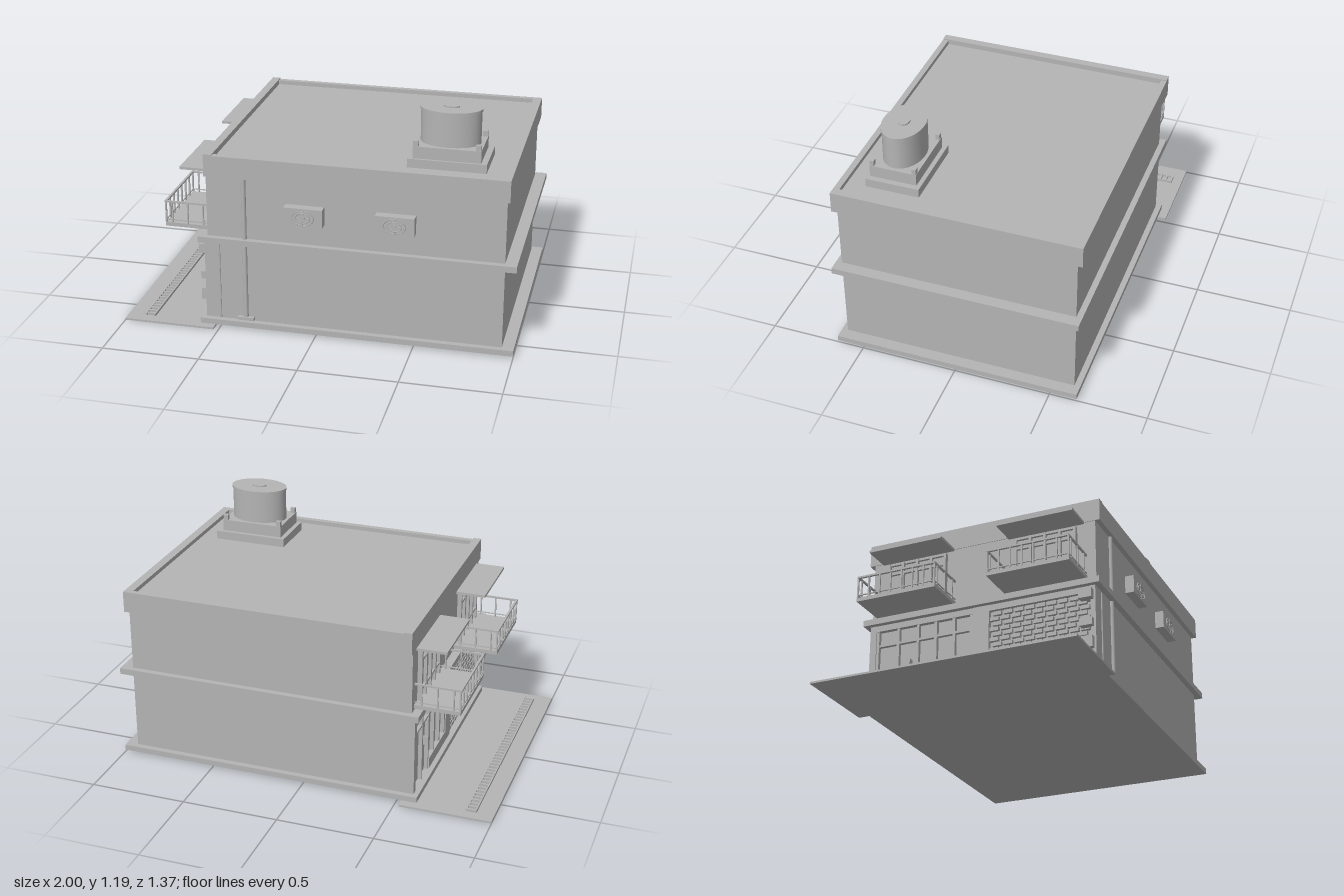
import * as THREE from 'three';

export function createModel() {
  const model = new THREE.Group();
  model.name = 'building';
  const grey = new THREE.MeshStandardMaterial({ color: 0xb4b4b4 });
  grey.name = 'concrete grey';

  const add = (name, geometry, parent = model) => {
    const mesh = new THREE.Mesh(geometry, grey);
    mesh.name = name;
    parent.add(mesh);
    return mesh;
  };
  // box given by its limits on each axis
  const box = (name, x0, x1, y0, y1, z0, z1, parent) => {
    const mesh = add(name, new THREE.BoxGeometry(x1 - x0, y1 - y0, z1 - z0), parent);
    mesh.position.set((x0 + x1) / 2, (y0 + y1) / 2, (z0 + z1) / 2);
    return mesh;
  };
  const group = (name) => {
    const g = new THREE.Group();
    g.name = name;
    model.add(g);
    return g;
  };

  // pavement with a drain grate
  box('pavement', -1, -0.525, 0.003, 0.013, -0.685, 0.68);
  const drain = group('drainGrate');
  for (const x of [-0.91, -0.862]) box('grateRail', x, x + 0.007, 0.013, 0.026, -0.63, 0.625, drain);
  for (let i = 0; i < 40; i++) {
    const z = -0.63 + i * 0.0317;
    box('grateBar', -0.905, -0.86, 0.013, 0.026, z, z + 0.012, drain);
  }

  // floors and walls
  box('baseSlab', -0.605, 1, 0.013, 0.042, -0.64, 0.64);
  box('lowerWalls', -0.555, 0.94, 0.042, 0.462, -0.61, 0.61);
  box('middleSlab', -0.605, 1, 0.462, 0.494, -0.64, 0.64);
  box('upperWalls', -0.562, 0.94, 0.494, 0.82, -0.61, 0.61);

  // roof with its parapet
  box('roof', -0.525, 0.912, 0.82, 0.908, -0.61, 0.605);
  box('streetParapet', -0.565, -0.522, 0.82, 0.936, -0.638, 0.635);
  box('farParapet', 0.91, 0.955, 0.82, 0.93, -0.638, 0.635);
  box('frontParapet', -0.522, 0.91, 0.82, 0.93, 0.604, 0.635);
  box('backParapet', -0.522, 0.91, 0.82, 0.93, -0.638, -0.608);

  // oval water tank on its stand
  const tank = group('waterTank');
  box('standPlate', 0.43, 0.82, 0.908, 0.953, 0.23, 0.507, tank);
  box('standBlock', 0.455, 0.79, 0.953, 1.014, 0.253, 0.495, tank);
  for (const x of [0.457, 0.763])
    for (const z of [0.255, 0.473]) box('standPost', x, x + 0.025, 0.95, 1.042, z, z + 0.02, tank);
  const oval = (name, rx, rz, y0, y1) => {
    const mesh = add(name, new THREE.CylinderGeometry(1, 1, 1, 48), tank);
    mesh.scale.set(rx, y1 - y0, rz);
    mesh.position.set(0.622, (y0 + y1) / 2, 0.374);
  };
  oval('tankBody', 0.149, 0.103, 1.01, 1.185);
  oval('tankRim', 0.153, 0.106, 1.178, 1.191);
  oval('tankCap', 0.04, 0.028, 1.19, 1.198);

  // air conditioners on the front wall
  for (const x of [-0.055, 0.403]) {
    const unit = group('airConditioner');
    box('unitCase', x - 0.098, x + 0.098, 0.608, 0.702, 0.608, 0.657, unit);
    for (const r of [0.055, 0.036]) {
      const ring = add('fanRing', new THREE.TorusGeometry(r, 0.003, 6, 32), unit);
      ring.scale.y = 0.7;
      ring.position.set(x, 0.654, 0.659);
    }
    const hub = add('fanHub', new THREE.CylinderGeometry(0.012, 0.012, 0.008, 20), unit);
    hub.rotation.x = Math.PI / 2;
    hub.position.set(x, 0.654, 0.659);
    for (let i = 0; i < 8; i++) {
      const a = (i * Math.PI) / 4;
      const blade = box('fanSpoke', -0.02, 0.02, -0.001, 0.001, -0.002, 0.002, unit);
      blade.position.set(x + 0.034 * Math.cos(a), 0.654 + 0.024 * Math.sin(a), 0.659);
      blade.rotation.z = Math.atan2(0.7 * Math.sin(a), Math.cos(a));
    }
  }

  // rain pipes on the front wall
  const pipe = add('rainPipe', new THREE.CylinderGeometry(0.012, 0.012, 0.77, 16));
  pipe.position.set(-0.368, 0.435, 0.613);
  box('pipeFoot', -0.41, -0.325, 0.048, 0.064, 0.605, 0.63);
  const thinPipe = add('thinPipe', new THREE.CylinderGeometry(0.004, 0.004, 0.41, 10));
  thinPipe.position.set(-0.502, 0.247, 0.612);

  // balconies, canopies and balcony doors
  for (const [z0, z1] of [[-0.573, -0.142], [0.135, 0.565]]) {
    const balcony = group('balcony');
    box('balconyFloor', -0.797, -0.56, 0.504, 0.524, z0, z1, balcony);
    box('canopy', -0.718, -0.56, 0.813, 0.826, z0 + 0.013, z1 - 0.013, balcony);
    box('frontHandrail', -0.8, -0.788, 0.632, 0.641, z0, z1, balcony);
    box('frontLowRail', -0.797, -0.791, 0.536, 0.541, z0, z1, balcony);
    for (let i = 0; i <= 7; i++) {
      const z = z0 + ((z1 - z0 - 0.008) * i) / 7;
      box('railPost', -0.798, -0.79, 0.522, 0.635, z, z + 0.008, balcony);
    }
    for (const z of [z0, z1 - 0.009]) {
      box('sideHandrail', -0.8, -0.56, 0.632, 0.641, z, z + 0.009, balcony);
      box('sideLowRail', -0.795, -0.56, 0.536, 0.541, z + 0.002, z + 0.007, balcony);
      for (const x of [-0.765, -0.683, -0.602])
        box('railPost', x, x + 0.007, 0.522, 0.635, z + 0.001, z + 0.008, balcony);
    }
    // glazed door with frame bars
    const a = z0 + 0.05, b = z1 - 0.05;
    box('doorPane', -0.569, -0.56, 0.524, 0.8, a, b, balcony);
    for (let i = 0; i <= 4; i++) {
      const z = a + ((b - a - 0.014) * i) / 4;
      box('doorUpright', -0.585, -0.56, 0.524, 0.8, z, z + 0.014, balcony);
    }
    for (const y of [0.575, 0.735, 0.788]) box('doorBar', -0.582, -0.56, y, y + 0.012, a, b, balcony);
  }

  // street front: pillars and beam
  for (const [z0, z1] of [[-0.61, -0.575], [-0.04, 0.05], [0.585, 0.61]])
    box('pillar', -0.58, -0.55, 0.042, 0.462, z0, z1);
  box('shopBeam', -0.578, -0.55, 0.43, 0.462, -0.61, 0.61);

  // entrance door and shop windows
  const shop = group('shopFront');
  for (const z of [-0.575, -0.46, -0.35, -0.25, -0.15, -0.055])
    box('shopUpright', -0.575, -0.55, 0.042, 0.43, z, z + 0.014, shop);
  box('shopTransom', -0.573, -0.55, 0.345, 0.357, -0.575, -0.04, shop);
  box('windowSill', -0.58, -0.55, 0.042, 0.1, -0.34, -0.04, shop);
  box('doorHandle', -0.584, -0.55, 0.2, 0.25, -0.385, -0.378, shop);

  // shutter of staggered raised blocks
  const shutter = group('shutter');
  for (let row = 0; row < 14; row++) {
    const y = 0.046 + row * 0.0275;
    for (let i = 0; i < 9; i++) {
      const z = 0.052 + i * 0.058 + (row % 2) * 0.015;
      box('shutterBlock', -0.573, -0.55, y, y + 0.02, z, z + 0.046, shutter);
    }
  }

  // small boxes beside the shutter
  for (const [y0, y1, x] of [[0.388, 0.437, -0.613], [0.245, 0.285, -0.607], [0.13, 0.19, -0.607]])
    box('wallBox', x, -0.55, y0, y1, 0.535, 0.6);

  return model;
}
